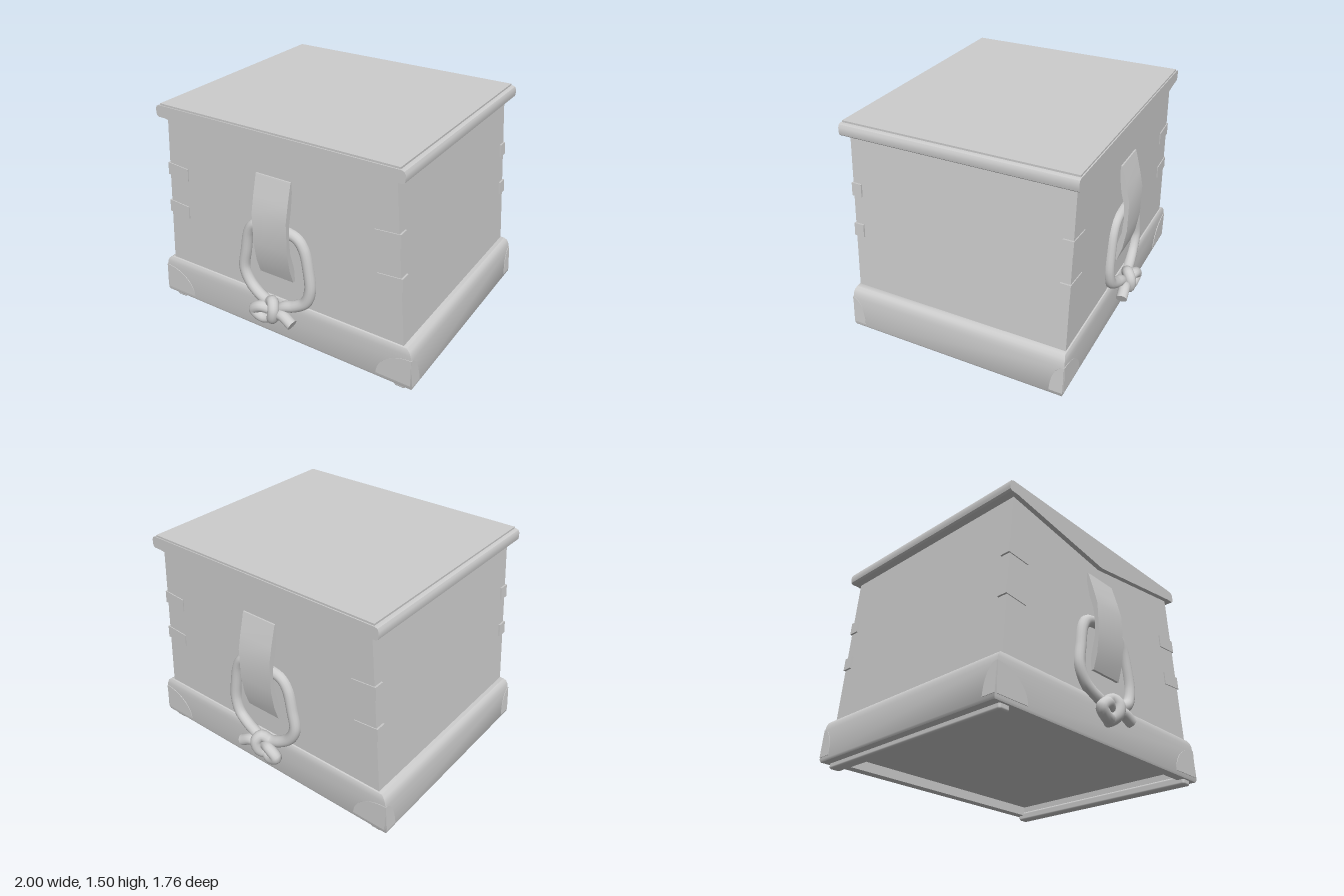
import * as THREE from 'three';
import { toCreasedNormals } from 'three/addons/utils/BufferGeometryUtils.js';
import { RoundedBoxGeometry } from 'three/addons/geometries/RoundedBoxGeometry.js';

const SLOPE = 0.0787; // inward lean of the side walls

// Stacks rectangular rings [y, halfX, halfZ] into one skin
function ringLoft(levels) {
  const corners = [[1, 1], [1, -1], [-1, -1], [-1, 1]];
  const pos = [], idx = [];
  for (const [y, hx, hz] of levels) for (const [cx, cz] of corners) pos.push(cx * hx, y, cz * hz);
  for (let i = 0; i < levels.length - 1; i++) {
    for (let j = 0; j < 4; j++) {
      const a = i * 4 + j, b = i * 4 + (j + 1) % 4;
      idx.push(a, b, b + 4, a, b + 4, a + 4);
    }
  }
  const g = new THREE.BufferGeometry();
  g.setAttribute('position', new THREE.Float32BufferAttribute(pos, 3));
  g.setIndex(idx);
  return toCreasedNormals(g, 0.6);
}

// Extrudes an outline, centred on z = 0
function slab(points, depth) {
  const shape = new THREE.Shape(points.map(p => new THREE.Vector2(...p)));
  const g = new THREE.ExtrudeGeometry(shape, { depth, bevelEnabled: false });
  return g.translate(0, 0, -depth / 2);
}

// Quarter-ellipse plate with its square corner at the origin
function quarterPlate(w, h) {
  const pts = [[0, 0]];
  for (let i = 0; i <= 14; i++) {
    const t = i / 14 * Math.PI / 2;
    pts.push([w * Math.cos(t), h * Math.sin(t)]);
  }
  return slab(pts, 0.008);
}

export function createModel() {
  const model = new THREE.Group();
  model.name = 'seaChest';
  const grey = new THREE.MeshStandardMaterial({ color: 0xcccccc });
  grey.name = 'plain grey';
  const add = (name, geometry, parent = model) => {
    const m = new THREE.Mesh(geometry, grey);
    m.name = name;
    parent.add(m);
    return m;
  };

  // Tapered body
  add('body', ringLoft([[0.3, 0.922, 0.75], [1.43, 0.834, 0.75], [1.43, 0, 0]]));

  // Skirting with rounded top and a recessed floor underneath
  add('skirting', ringLoft([
    [0.1, 0, 0], [0.1, 0.87, 0.7], [0.035, 0.87, 0.7], [0.035, 0.992, 0.765], [0.05, 1, 0.77],
    [0.25, 0.984, 0.77], [0.285, 0.977, 0.769], [0.31, 0.965, 0.765], [0.325, 0.945, 0.758],
    [0.33, 0.92, 0.749],
  ]));

  // Lid with a shallow pointed front and back, plus the top panel
  const edge = [[0.885, 1.408], [0.897, 1.418], [0.9, 1.435], [0.899, 1.465], [0.89, 1.482], [0.872, 1.488]];
  add('lid', toCreasedNormals(slab([
    [0, 1.285], [0.835, 1.408], ...edge,
    ...edge.map(([x, y]) => [-x, y]).reverse(), [-0.835, 1.408],
  ], 1.565), 0.6));
  add('lidPanel', new THREE.BoxGeometry(1.73, 0.03, 1.55)).position.y = 1.485;

  for (const sx of [-1, 1]) {
    // Foot runners
    add('footRunner', new RoundedBoxGeometry(0.08, 0.06, 1.5, 3, 0.015)).position.set(sx * 0.9, 0.03, 0);

    for (const sz of [-1, 1]) {
      // Dovetail tabs at the body corners
      for (const y of [1.03, 0.745]) {
        const outer = 0.92 - (y - 0.33) * SLOPE + 0.012;
        const tab = add('dovetail', new THREE.BoxGeometry(0.17, 0.088, 0.07));
        tab.position.set(sx * (outer - 0.085), y, sz * 0.721);
        tab.rotation.z = sx * SLOPE;
      }
      // Corner guards on the skirting
      const face = add('cornerGuardFront', quarterPlate(-sx * 0.24, 0.19));
      face.position.set(sx * 0.985, 0.065, sz * 0.77);
      const side = add('cornerGuardSide', quarterPlate(-sz * 0.09, 0.19).rotateY(-Math.PI / 2));
      side.position.set(sx * 0.998, 0.065, sz * 0.77);
      side.rotation.z = sx * SLOPE;
    }
  }

  // Handles on front and back: bowed strap holding a knotted rope loop
  const strap = [
    [0.74, 1.2], [0.76, 1.2], [0.797, 1.06], [0.822, 0.95], [0.822, 0.74], [0.8, 0.6], [0.768, 0.5],
    [0.74, 0.5], [0.755, 0.6], [0.788, 0.72], [0.796, 0.83], [0.788, 0.93], [0.765, 1.02],
  ];
  const rope = [
    [0.155, 0.215, 0.83], [0.07, 0.255, 0.82], [-0.02, 0.205, 0.8], [-0.09, 0.182, 0.82],
    [-0.15, 0.225, 0.83], [-0.09, 0.272, 0.83], [0, 0.25, 0.79], [0.07, 0.3, 0.785],
    [0.14, 0.325, 0.775], [0.22, 0.38, 0.765], [0.255, 0.48, 0.76], [0.245, 0.62, 0.757],
    [0.21, 0.77, 0.755], [0.16, 0.83, 0.755], [0, 0.85, 0.755], [-0.16, 0.83, 0.755],
    [-0.21, 0.77, 0.755], [-0.245, 0.62, 0.757], [-0.265, 0.48, 0.76], [-0.22, 0.38, 0.765],
    [-0.14, 0.32, 0.775], [-0.06, 0.295, 0.785], [-0.01, 0.325, 0.81], [0.015, 0.29, 0.838],
    [0, 0.215, 0.832], [-0.03, 0.185, 0.79], [-0.03, 0.2, 0.74],
  ];
  for (const sz of [-1, 1]) {
    const handle = new THREE.Group();
    handle.name = sz > 0 ? 'frontHandle' : 'backHandle';
    model.add(handle);

    const strapGeo = slab(strap, 0.26).rotateY(-Math.PI / 2 * sz);
    add('strap', toCreasedNormals(strapGeo, 0.4), handle);

    const path = new THREE.CatmullRomCurve3(rope.map(([x, y, z]) => new THREE.Vector3(x, y, z * sz)));
    add('ropeLoop', new THREE.TubeGeometry(path, 220, 0.039, 14), handle);
    const end = add('ropeEnd', new THREE.CircleGeometry(0.039, 14), handle);
    end.position.copy(path.getPoint(0));
    end.lookAt(path.getPoint(0).sub(path.getTangent(0)));
  }
  return model;
}
